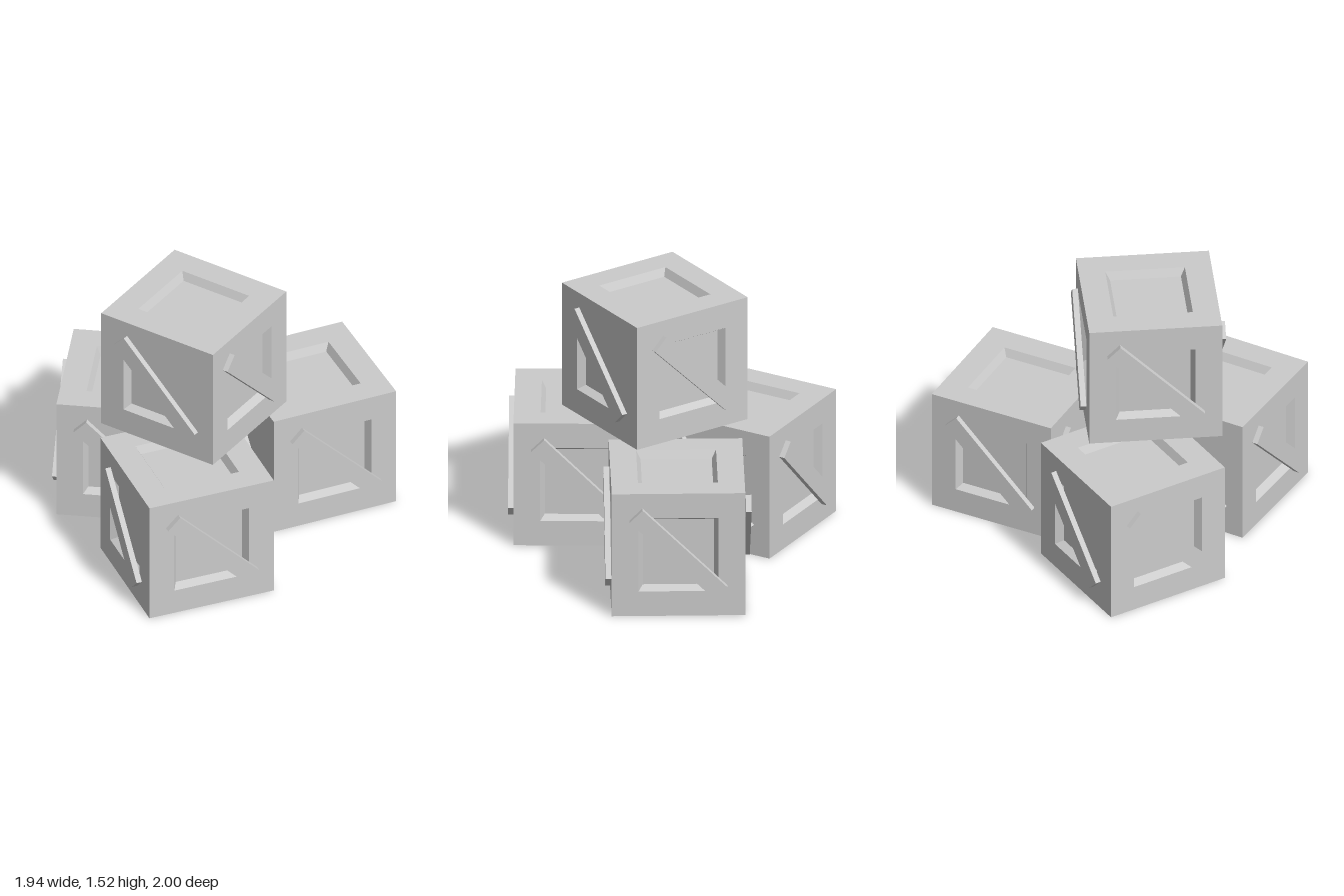
import * as THREE from 'three';
import { mergeGeometries } from 'three/addons/utils/BufferGeometryUtils.js';

const HALF = 0.381;     // half the crate's edge
const OPENING = 0.228;  // half the recess opening
const FLOOR = 0.203;    // half the recess floor
const DEPTH = 0.045;

const material = new THREE.MeshStandardMaterial({ color: 0xcccccc, flatShading: true });

// One square side with a bevelled recess, facing +y: a four-sided lathe
function panelGeometry() {
  const ring = (half, y) => new THREE.Vector2(half * Math.SQRT2, y);
  const profile = [
    ring(HALF, HALF), ring(OPENING, HALF),
    ring(FLOOR, HALF - DEPTH), ring(0, HALF - DEPTH),
  ];
  const geometry = new THREE.LatheGeometry(profile, 4, Math.PI / 4).toNonIndexed();
  geometry.computeVertexNormals();
  return geometry;
}

// Six recessed sides make the crate body
function bodyGeometry() {
  const sides = [panelGeometry(), panelGeometry().rotateX(Math.PI)];
  for (let i = 0; i < 4; i++) {
    sides.push(panelGeometry().rotateX(Math.PI / 2).rotateY(i * Math.PI / 2));
  }
  return mergeGeometries(sides);
}

const body = bodyGeometry();
const plank = new THREE.BoxGeometry(0.685, 0.105, 0.033);

function createCrate(name, x, y, z, turn) {
  const crate = new THREE.Group();
  crate.name = name;

  const box = new THREE.Mesh(body, material);
  box.name = 'crateBody';
  crate.add(box);

  // Diagonal brace across each upright side; back and -x braces stand slightly off
  ['frontBrace', 'leftBrace', 'backBrace', 'rightBrace'].forEach((braceName, i) => {
    const side = new THREE.Group();
    side.rotation.y = i * Math.PI / 2;
    const brace = new THREE.Mesh(plank, material);
    brace.name = braceName;
    brace.position.set(0, 0.012, HALF + 0.0165 + (i >= 2 ? 0.006 : 0));
    brace.rotation.z = -Math.PI / 4;
    side.add(brace);
    crate.add(side);
  });

  crate.position.set(x, y + HALF, z);
  crate.rotation.y = turn;
  return crate;
}

export function createModel() {
  const model = new THREE.Group();
  model.name = 'crateStack';
  model.add(
    createCrate('backRightCrate', -0.556, 0, -0.352, 0),
    createCrate('backLeftCrate', 0.443, 0, -0.48, 0.545),
    createCrate('frontCrate', -0.127, 0, 0.477, 0.506),
    createCrate('topCrate', -0.15, 2 * HALF, 0.007, -0.452),
  );
  return model;
}
